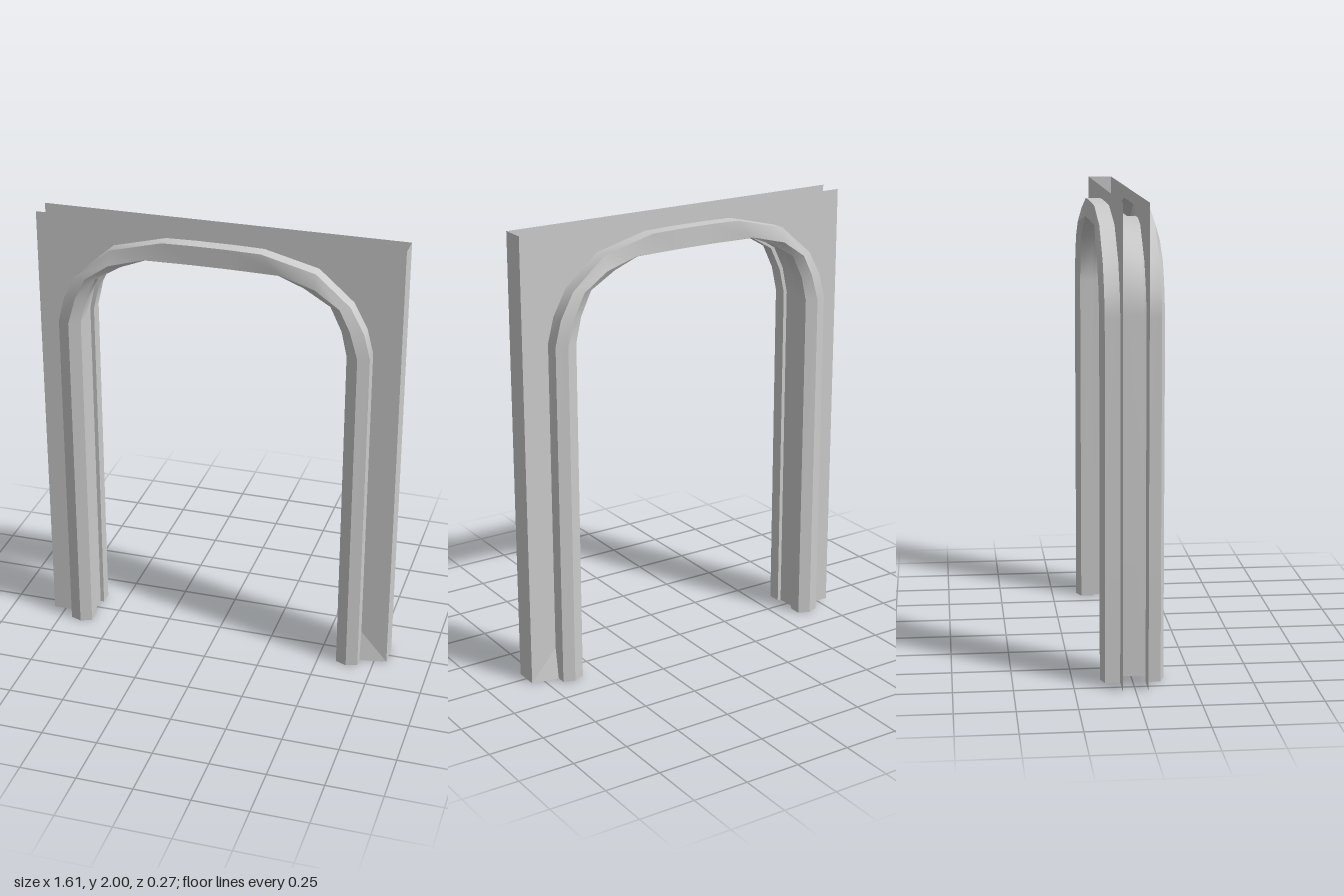
import * as THREE from 'three';

const material = new THREE.MeshStandardMaterial({ color: 0xcccccc, side: THREE.DoubleSide });

const WALL_Z = 0.053;   // half distance between the two wall panels
const TRIM_Z = 0.116;   // flat depth of the moulding
const HALF_W = 0.805;
const SHIFT = -0.006;   // the opening sits slightly off centre

// Half outlines of the opening, from the foot up to the crown
const outer = [[0.69, 0], [0.69, 1.53], [0.662, 1.64], [0.602, 1.752], [0.45, 1.884], [0.215, 1.944], [0.08, 1.947]];
const ridge = [[0.64, 0], [0.64, 1.53], [0.605, 1.65], [0.558, 1.745], [0.45, 1.82], [0.295, 1.859], [0.08, 1.861]];
const inner = [[0.59, 0], [0.59, 1.53], [0.565, 1.64], [0.515, 1.745], [0.4, 1.814], [0.29, 1.857], [0.08, 1.86]];
const recess = [[0.607, 0], [0.607, 1.53], [0.581, 1.648], [0.528, 1.757], [0.408, 1.829], [0.294, 1.872], [0.08, 1.875]];
const ridgeZ = [0.134, 0.134, 0.134, 0.134, 0.134, 0.113, 0.113];

// Mirrors a half outline into a full arch, at depth z (number or list)
function archLine(half, z) {
  const right = half.map(([x, y], i) => [x, y, Array.isArray(z) ? z[i] : z]);
  const left = right.map(([x, y, d]) => [-x, y, d]).reverse();
  return [...right, ...left].map(([x, y, d]) => new THREE.Vector3(x + SHIFT, y, d));
}

// Surface between two lines, smooth along its length
function strip(a, b) {
  const g = new THREE.BufferGeometry().setFromPoints([...a, ...b]);
  const n = a.length, index = [];
  for (let i = 0; i < n - 1; i++) index.push(i, n + i, i + 1, i + 1, n + i, n + i + 1);
  g.setIndex(index);
  g.computeVertexNormals();
  return g;
}

function add(parent, name, geometry) {
  const mesh = new THREE.Mesh(geometry, material);
  mesh.name = name;
  parent.add(mesh);
  return mesh;
}

// Flat wall around the opening
function wallGeometry(z) {
  const shape = new THREE.Shape();
  shape.moveTo(-HALF_W, 0);
  shape.lineTo(-HALF_W, 2);
  shape.lineTo(HALF_W, 2);
  shape.lineTo(HALF_W, 0);
  archLine(outer, 0).forEach((p) => shape.lineTo(p.x, p.y));
  shape.closePath();
  const g = new THREE.ShapeGeometry(shape);
  if (z < 0) g.rotateY(Math.PI).scale(-1, 1, 1);
  // The mirrored face needs its corner order reversed again
  if (z < 0) {
    const idx = g.index.array;
    for (let i = 0; i < idx.length; i += 3) [idx[i], idx[i + 1]] = [idx[i + 1], idx[i]];
    g.computeVertexNormals();
  }
  return g.translate(0, 0, z);
}

export function createModel() {
  const model = new THREE.Group();
  model.name = 'archway';

  for (const s of [1, -1]) {
    const side = new THREE.Group();
    side.name = s > 0 ? 'frontSide' : 'backSide';
    model.add(side);
    add(side, 'wallPanel', wallGeometry(s * WALL_Z));

    // Moulding: outer return, two bevels, inner return and lip to the recess
    const lines = [
      archLine(outer, s * WALL_Z),
      archLine(outer, s * TRIM_Z),
      archLine(ridge, ridgeZ.map((z) => s * z)),
      archLine(inner, s * 0.113),
      archLine(inner, s * WALL_Z),
      archLine(recess, s * WALL_Z),
    ];
    const names = ['trimOuterReturn', 'trimOuterBevel', 'trimInnerBevel', 'trimInnerReturn', 'trimLip'];
    names.forEach((name, i) => add(side, name,
      s > 0 ? strip(lines[i], lines[i + 1]) : strip(lines[i + 1], lines[i])));

    // Small flare at the foot of the closed leg
    const flare = new THREE.BufferGeometry().setFromPoints([
      new THREE.Vector3(0.69 + SHIFT, 0, s * 0.075),
      new THREE.Vector3(HALF_W, 0, s * WALL_Z),
      new THREE.Vector3(0.69 + SHIFT, 0.14, s * WALL_Z),
    ]);
    flare.setIndex(s > 0 ? [0, 1, 2] : [0, 2, 1]);
    flare.computeVertexNormals();
    add(side, 'footFlare', flare);
  }

  // Recessed soffit joining the two mouldings
  add(model, 'soffit', strip(archLine(recess, WALL_Z), archLine(recess, -WALL_Z)));

  // Closing panel at one end; the other end and the top stay open
  const end = add(model, 'endPanel', new THREE.PlaneGeometry(2 * WALL_Z, 2));
  end.rotation.y = Math.PI / 2;
  end.position.set(HALF_W, 1, 0);

  return model;
}
